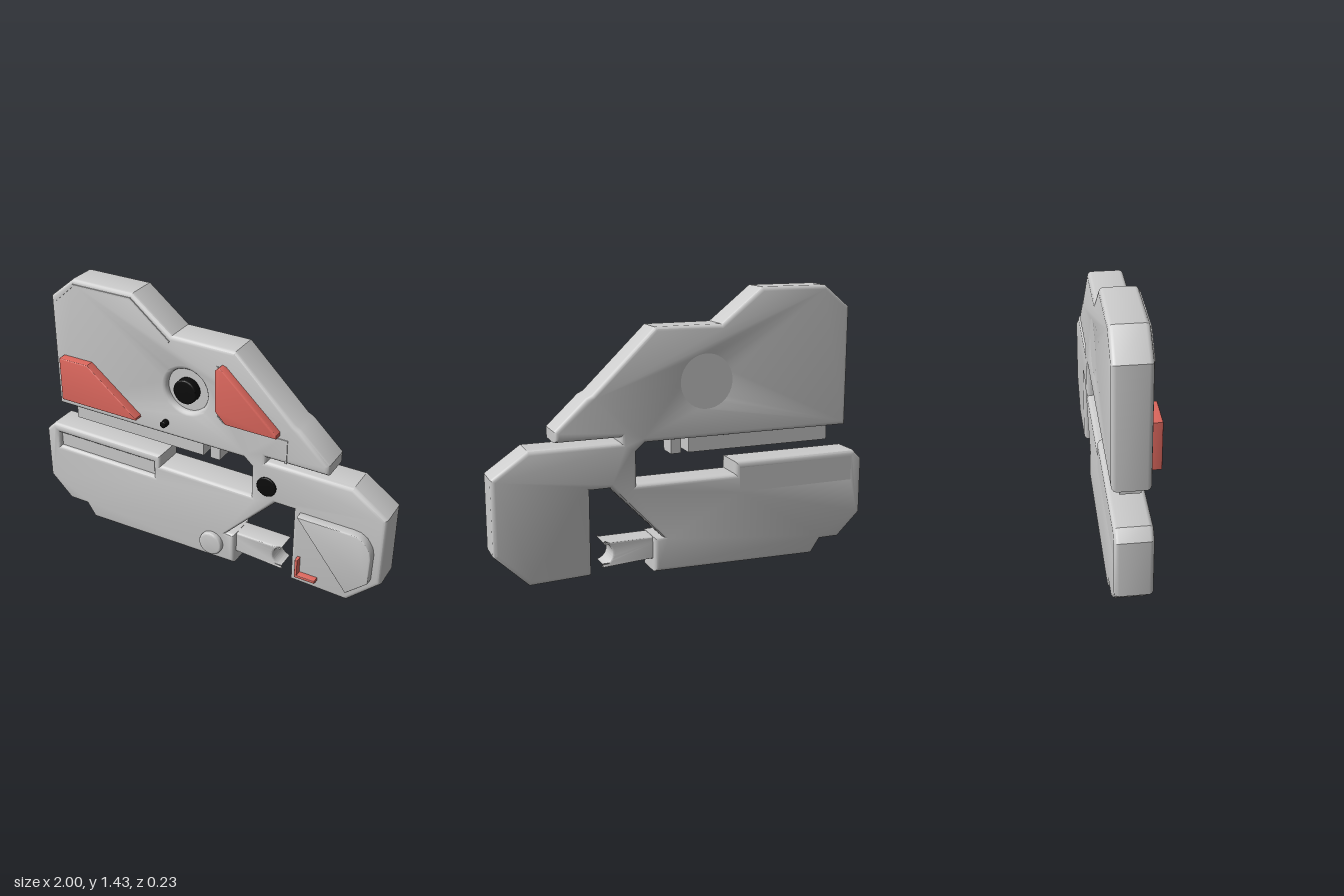
import * as THREE from 'three';
import { toCreasedNormals } from 'three/addons/utils/BufferGeometryUtils.js';

const BACK = -0.115, FRONT = 0.065;
const grey = new THREE.MeshStandardMaterial({ color: 0xcccccc });
const red = new THREE.MeshStandardMaterial({ color: 0xe0695f });
const black = new THREE.MeshStandardMaterial({ color: 0x0c0c0c });

const toShape = (points) => new THREE.Shape(points.map(([x, y]) => new THREE.Vector2(x, y)));

export function createModel() {
  const group = new THREE.Group();

  function add(name, geometry, material = grey) {
    const mesh = new THREE.Mesh(geometry, material);
    mesh.name = name;
    group.add(mesh);
    return mesh;
  }

  // Plate between two depths whose rounded edges stay inside the outline
  function plate(name, shape, z0, z1, bevel, material) {
    const geometry = new THREE.ExtrudeGeometry(shape, {
      depth: z1 - z0 - 2 * bevel, bevelEnabled: bevel > 0, bevelThickness: bevel,
      bevelSize: bevel, bevelOffset: -bevel, bevelSegments: 3, curveSegments: 20,
    });
    geometry.translate(0, 0, z0 + bevel);
    return add(name, toCreasedNormals(geometry, 0.6), material);
  }

  function box(name, x0, x1, y0, y1, z0, z1, material) {
    const geometry = new THREE.BoxGeometry(x1 - x0, y1 - y0, z1 - z0);
    geometry.translate((x0 + x1) / 2, (y0 + y1) / 2, (z0 + z1) / 2);
    return add(name, geometry, material);
  }

  function disc(name, x, y, radius, z0, z1, bevel, material) {
    const shape = new THREE.Shape();
    shape.absarc(x, y, radius, 0, Math.PI * 2);
    return plate(name, shape, z0, z1, bevel, material);
  }

  // Thin raised trim following a line on the front face
  function trim(name, points) {
    points.slice(1).forEach(([x1, y1], i) => {
      const [x0, y0] = points[i];
      const length = Math.hypot(x1 - x0, y1 - y0);
      const mesh = add(name, new THREE.BoxGeometry(length + 0.008, 0.009, 0.01));
      mesh.position.set((x0 + x1) / 2, (y0 + y1) / 2, FRONT);
      mesh.rotation.z = Math.atan2(y1 - y0, x1 - x0);
    });
  }

  // One-piece body: upper housing, lower jaw and right-hand hook
  const body = toShape([
    [-0.89, 0.695], [0.235, 0.695], [0.28, 0.655], [0.28, 0.485], [-0.255, 0.485],
    [-0.255, 0.55], [-0.95, 0.55], [-1, 0.5], [-1, 0.2], [-0.87, 0.075],
    [-0.76, 0.075], [-0.71, 0], [0.19, 0.018], [0.19, 0.2], [0.145, 0.2],
    [0.415, 0.48], [0.52, 0.48], [0.52, 0.045], [0.83, 0.035], [1, 0.2],
    [1, 0.58], [0.82, 0.705], [0.36, 0.705], [0.36, 0.73], [0.69, 0.73],
    [0.69, 0.785], [0.53, 0.935], [0.5, 0.95], [0.18, 1.26], [-0.17, 1.26],
    [-0.39, 1.435], [-0.75, 1.435], [-0.89, 1.32],
  ]);
  const dialHole = new THREE.Path();
  dialHole.absarc(-0.09, 0.98, 0.117, 0, Math.PI * 2);
  const windowHole = new THREE.Path([
    [-0.912, 0.412], [-0.3, 0.412], [-0.3, 0.497], [-0.912, 0.497],
  ].map(([x, y]) => new THREE.Vector2(x, y)));
  body.holes.push(dialHole, windowHole);
  plate('body', body, BACK, FRONT, 0.022);

  // Floors closing the two front recesses
  disc('dialRecessFloor', -0.09, 0.98, 0.139, BACK, 0.035, 0);
  box('windowRecessFloor', -0.934, -0.278, 0.39, 0.519, BACK, 0.04);

  // Black dial, pivot and indicator
  disc('dial', -0.09, 0.98, 0.065, 0.02, 0.08, 0.006, black);
  disc('pivot', 0.37, 0.57, 0.053, 0.04, 0.075, 0.004, black);
  disc('indicator', -0.21, 0.77, 0.018, 0.05, 0.1, 0.003, black);

  // Coloured plates on the front
  plate('leftPlate', toShape([
    [-0.83, 0.758], [-0.365, 0.758], [-0.365, 0.77], [-0.655, 1], [-0.83, 1],
  ]), 0.05, 0.115, 0.005, red);
  plate('rightPlate', toShape([
    [0.098, 0.94], [0.155, 0.882], [0.43, 0.882], [0.43, 0.902],
    [0.135, 1.172], [0.115, 1.178], [0.098, 1.162],
  ]), 0.05, 0.11, 0.005, red);
  plate('cornerMark', toShape([
    [0.557, 0.1], [0.67, 0.1], [0.67, 0.117], [0.572, 0.117], [0.572, 0.21], [0.557, 0.21],
  ]), 0.05, 0.1, 0.003, red);

  // Trim lines on the housing
  trim('topTrim', [[-0.85, 1.31], [-0.74, 1.408], [-0.4, 1.408], [-0.185, 1.23]]);
  trim('sideTrim', [[0.088, 1.16], [0.088, 0.89], [0.12, 0.86], [0.468, 0.86], [0.468, 0.74]]);

  // Bars hanging below the housing
  box('longBar', -0.8, -0.01, 0.615, 0.71, -0.07, 0.03);
  box('shortBar', 0.03, 0.085, 0.615, 0.71, -0.07, 0.03);

  // Raised cover on the hook
  plate('hookCover', toShape([
    [0.56, 0.48], [0.84, 0.12], [0.95, 0.22], [0.953, 0.37], [0.945, 0.41],
    [0.915, 0.455], [0.88, 0.476], [0.84, 0.48],
  ]), 0.05, 0.113, 0.006);

  // Plunger with a forked, hollowed tip, and its round button
  const plunger = new THREE.Shape();
  plunger.moveTo(0.1, 0.08);
  plunger.lineTo(0.45, 0.08);
  plunger.absarc(0.462, 0.138, 0.06, -Math.PI * 0.56, Math.PI * 0.56, true);
  plunger.lineTo(0.45, 0.198);
  plunger.lineTo(0.1, 0.198);
  plate('plunger', plunger, -0.085, 0.035, 0.01);
  disc('button', 0.06, 0.115, 0.066, 0.05, 0.093, 0.01);

  return group;
}
